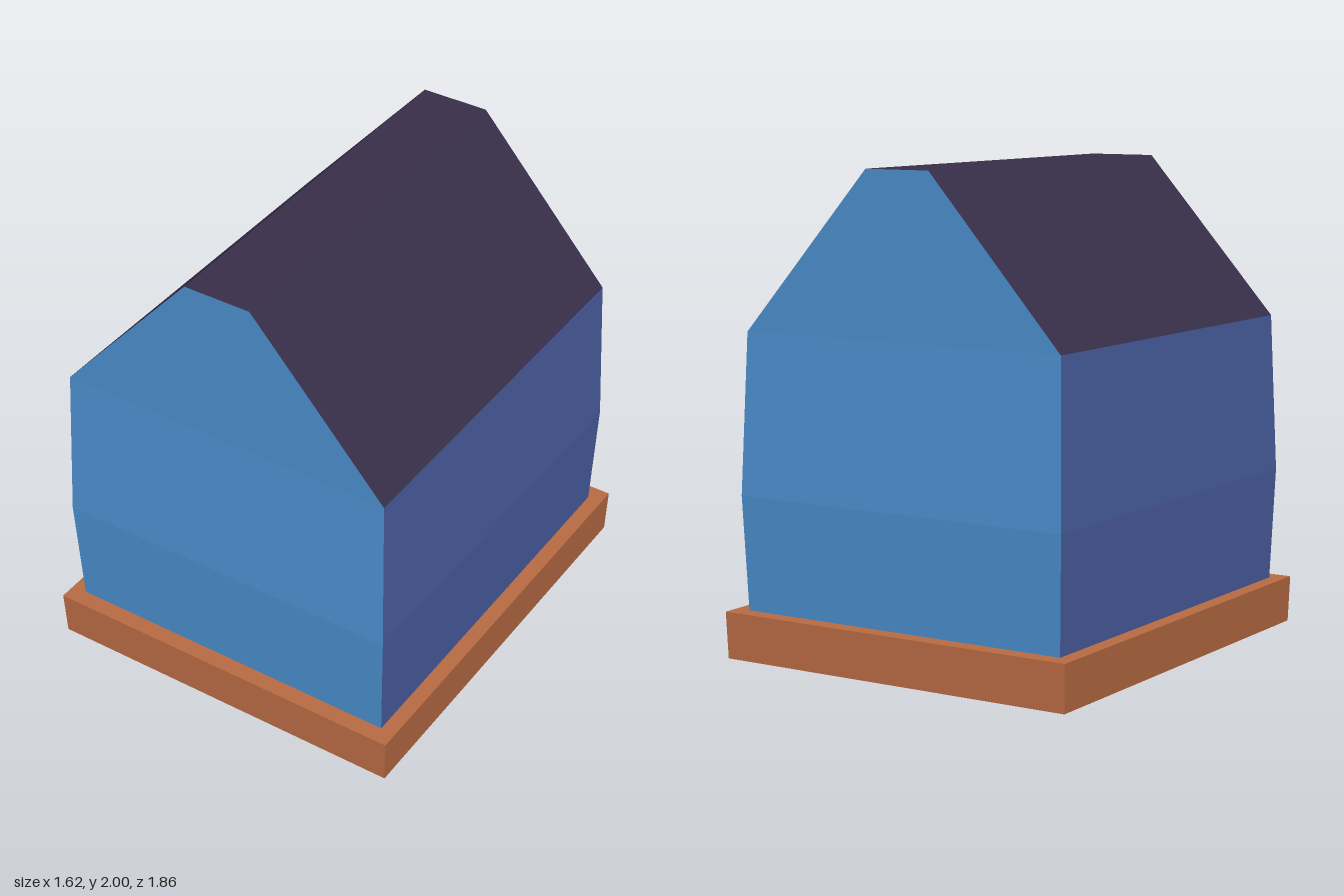
import * as THREE from 'three';

const mat = (name, color) => {
  const m = new THREE.MeshStandardMaterial({ color });
  m.name = name;
  return m;
};

// Mesh from a list of convex outlines, corners anticlockwise seen from outside
function panels(name, material, faces) {
  const pos = [];
  for (const f of faces)
    for (let i = 1; i < f.length - 1; i++) pos.push(...f[0], ...f[i], ...f[i + 1]);
  const g = new THREE.BufferGeometry();
  g.setAttribute('position', new THREE.Float32BufferAttribute(pos, 3));
  g.computeVertexNormals();
  const mesh = new THREE.Mesh(g, material);
  mesh.name = name;
  return mesh;
}

// Half turn about the vertical axis, for the opposite side
const opposite = (face) => face.map(([x, y, z]) => [-x, y, -z]);
const both = (faces) => [...faces, ...faces.map(opposite)];

export function createModel() {
  const gableBlue = mat('gable blue', 0x4a8cca);
  const wallBlue = mat('side wall blue', 0x4a5fa1);
  const roofPurple = mat('roof purple', 0x382e49);
  const baseOrange = mat('base orange', 0xb86b43);

  const house = new THREE.Group();
  house.name = 'house';

  // Wall levels: half width, height, half depth; the walls bulge at the middle
  const levels = [[0.743, 0.195, 0.858], [0.758, 0.67, 0.878], [0.738, 1.335, 0.85]];
  const ridge = [0.147, 2, 0.85];
  const profile = [...levels, ridge];

  // Gable ends and side walls, one band per level
  const gable = [], wall = [];
  for (let i = 0; i < profile.length - 1; i++) {
    const [x0, y0, z0] = profile[i], [x1, y1, z1] = profile[i + 1];
    gable.push([[-x0, y0, z0], [x0, y0, z0], [x1, y1, z1], [-x1, y1, z1]]);
    if (i < 2) wall.push([[x0, y0, z0], [x0, y0, -z0], [x1, y1, -z1], [x1, y1, z1]]);
  }
  house.add(panels('gableEnds', gableBlue, both(gable)));
  house.add(panels('sideWalls', wallBlue, both(wall)));

  // Roof: two slopes and a flat ridge
  const [ex, ey, ez] = levels[2], [rx, ry, rz] = ridge;
  const slope = [[ex, ey, ez], [ex, ey, -ez], [rx, ry, -rz], [rx, ry, rz]];
  const flat = [[-rx, ry, rz], [rx, ry, rz], [rx, ry, -rz], [-rx, ry, -rz]];
  house.add(panels('roof', roofPurple, [...both([slope]), flat]));

  // Base slab, slightly narrower at the bottom, with a dark underside
  const [bx, bz, tx, tz, h] = [0.802, 0.923, 0.808, 0.93, 0.195];
  house.add(panels('baseSlab', baseOrange, [
    ...both([
      [[-bx, 0, bz], [bx, 0, bz], [tx, h, tz], [-tx, h, tz]],
      [[bx, 0, bz], [bx, 0, -bz], [tx, h, -tz], [tx, h, tz]],
    ]),
    [[-tx, h, tz], [tx, h, tz], [tx, h, -tz], [-tx, h, -tz]],
  ]));
  house.add(panels('baseUnderside', roofPurple, [
    [[-bx, 0, -bz], [bx, 0, -bz], [bx, 0, bz], [-bx, 0, bz]],
  ]));

  return house;
}
